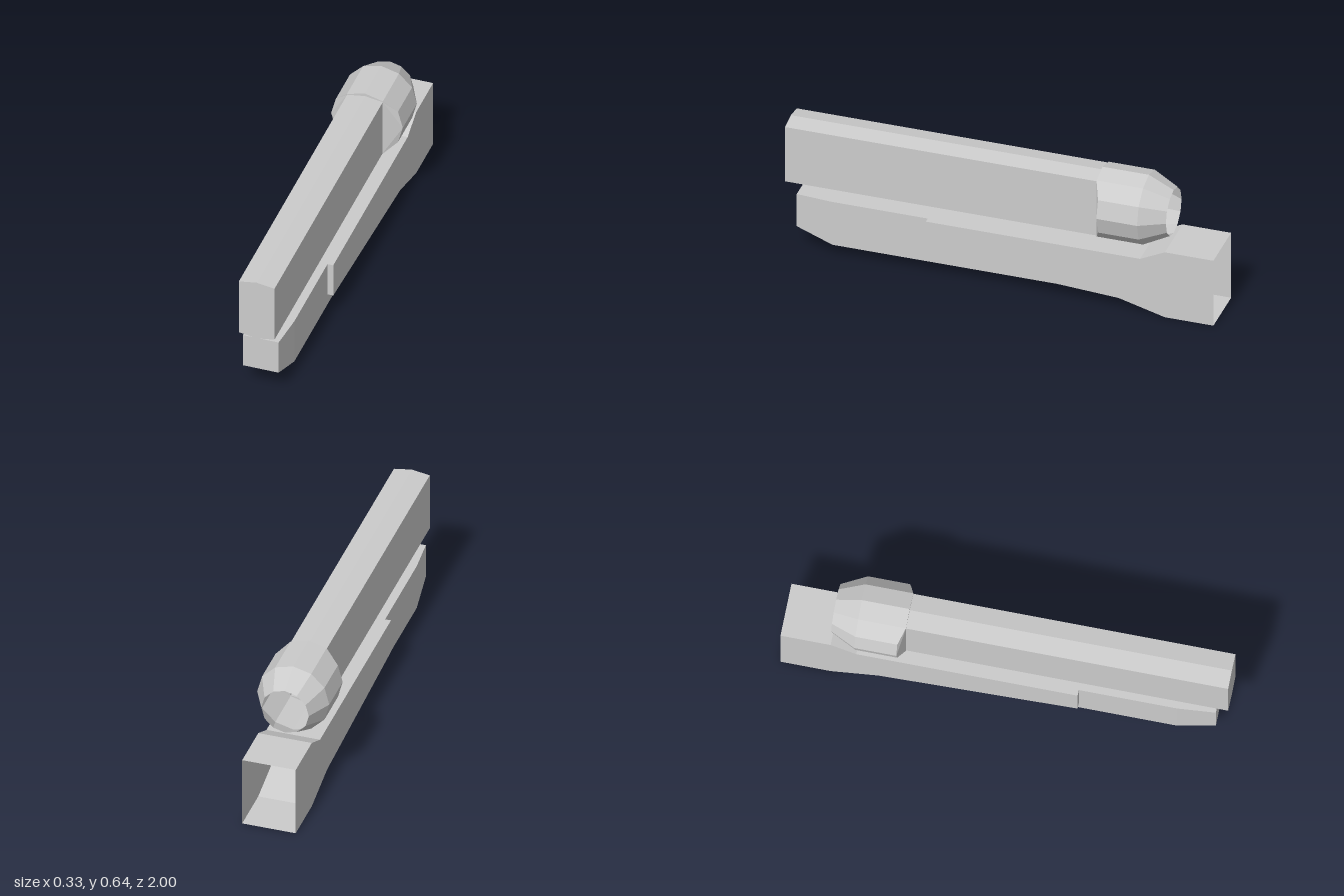
import * as THREE from 'three';

const material = new THREE.MeshStandardMaterial({
  color: 0xcccccc, flatShading: true, side: THREE.DoubleSide,
});

// Skin a row of cross-sections, ordered front to back, each counter-clockwise seen from the front.
function loft(name, sections, capFront = false, capBack = false) {
  const pos = [];
  const u = new THREE.Vector3(), v = new THREE.Vector3();
  const tri = (a, b, c) => {
    u.subVectors(b, a);
    v.subVectors(c, a);
    if (u.cross(v).length() > 1e-7) for (const p of [a, b, c]) pos.push(p.x, p.y, p.z);
  };
  for (let i = 0; i < sections.length - 1; i++) {
    const s = sections[i], t = sections[i + 1], n = s.length;
    for (let j = 0; j < n; j++) {
      const k = (j + 1) % n;
      // alternating diagonals keep the left and right sides mirrored
      if (j % 2 === 0) {
        tri(s[j], t[j], s[k]);
        tri(s[k], t[j], t[k]);
      } else {
        tri(s[j], t[j], t[k]);
        tri(s[j], t[k], s[k]);
      }
    }
  }
  const first = sections[0], last = sections[sections.length - 1];
  for (let j = 1; j < first.length - 1; j++) {
    if (capFront) tri(first[0], first[j], first[j + 1]);
    if (capBack) tri(last[0], last[j + 1], last[j]);
  }
  const geometry = new THREE.BufferGeometry();
  geometry.setAttribute('position', new THREE.Float32BufferAttribute(pos, 3));
  geometry.computeVertexNormals();
  const mesh = new THREE.Mesh(geometry, material);
  mesh.name = name;
  return mesh;
}

const P = (x, y, z) => new THREE.Vector3(x, y, z);

// Rectangular cross-section
const rect = (z, x0, x1, y0, y1) => [P(x0, y0, z), P(x1, y0, z), P(x1, y1, z), P(x0, y1, z)];

export function createModel() {
  const group = new THREE.Group();
  group.name = 'slidingBarAssembly';

  // Upper bar: tall box with a shallow ridge above and below
  const W = 0.083, midY = 0.474, sideH = 0.14, ridgeH = 0.153;
  const barSection = (z) => [
    P(W, midY - sideH, z), P(W, midY + sideH, z), P(0, midY + ridgeH, z),
    P(-W, midY + sideH, z), P(-W, midY - sideH, z), P(0, midY - ridgeH, z),
  ];
  group.add(loft('upperBar', [barSection(1), barSection(-0.445)], true));

  // Knob: twelve-sided, open at the back, its collar folding into the bar
  const ring = (r, zAt) => Array.from({ length: 12 }, (_, j) => {
    const a = (j * Math.PI) / 6;
    return P(r * Math.cos(a), midY + r * Math.sin(a), zAt(Math.abs(Math.cos(a))));
  });
  const collar = ring(1, () => -0.445).map((p) => {
    const dy = p.y - midY;
    const x = Math.abs(p.x) < 0.01 ? 0 : Math.sign(p.x) * W;
    const y = Math.abs(dy) < 0.01 ? 0 : Math.sign(dy) * (x === 0 ? ridgeH : sideH);
    return P(x, midY + y, p.z);
  });
  group.add(loft('knob', [
    collar,
    ring(0.167, (c) => (c > 0.6 ? -0.472 : -0.445)),
    ring(0.167, () => -0.66),
    ring(0.11, () => -0.775),
  ]));

  // Lower rail with a tapered, chamfered nose
  const N = 0.097;
  group.add(loft('lowerRail', [
    rect(0.945, -W, W, 0.113, 0.279),
    rect(0.775, -N, N, 0.058, 0.279),
    rect(-0.56, -N, N, 0.058, 0.279),
  ], true));

  // Side flanges that thin out towards the back
  const B = 0.124;
  for (const [name, x0, x1] of [['leftFlange', N, B], ['rightFlange', -B, -N]]) {
    group.add(loft(name, [
      rect(0.333, x0, x1, 0.113, 0.279),
      rect(-0.56, x0, x1, 0.058, 0.279),
    ], true, true));
  }

  // Flared rear socket, open at the back
  group.add(loft('rearSocket', [
    rect(-0.56, -B, B, 0.058, 0.279),
    rect(-0.66, -B, B, 0.031, 0.279),
    rect(-0.775, -B, B, 0, 0.335),
    rect(-1, -B, B, 0, 0.335),
  ]));

  return group;
}
